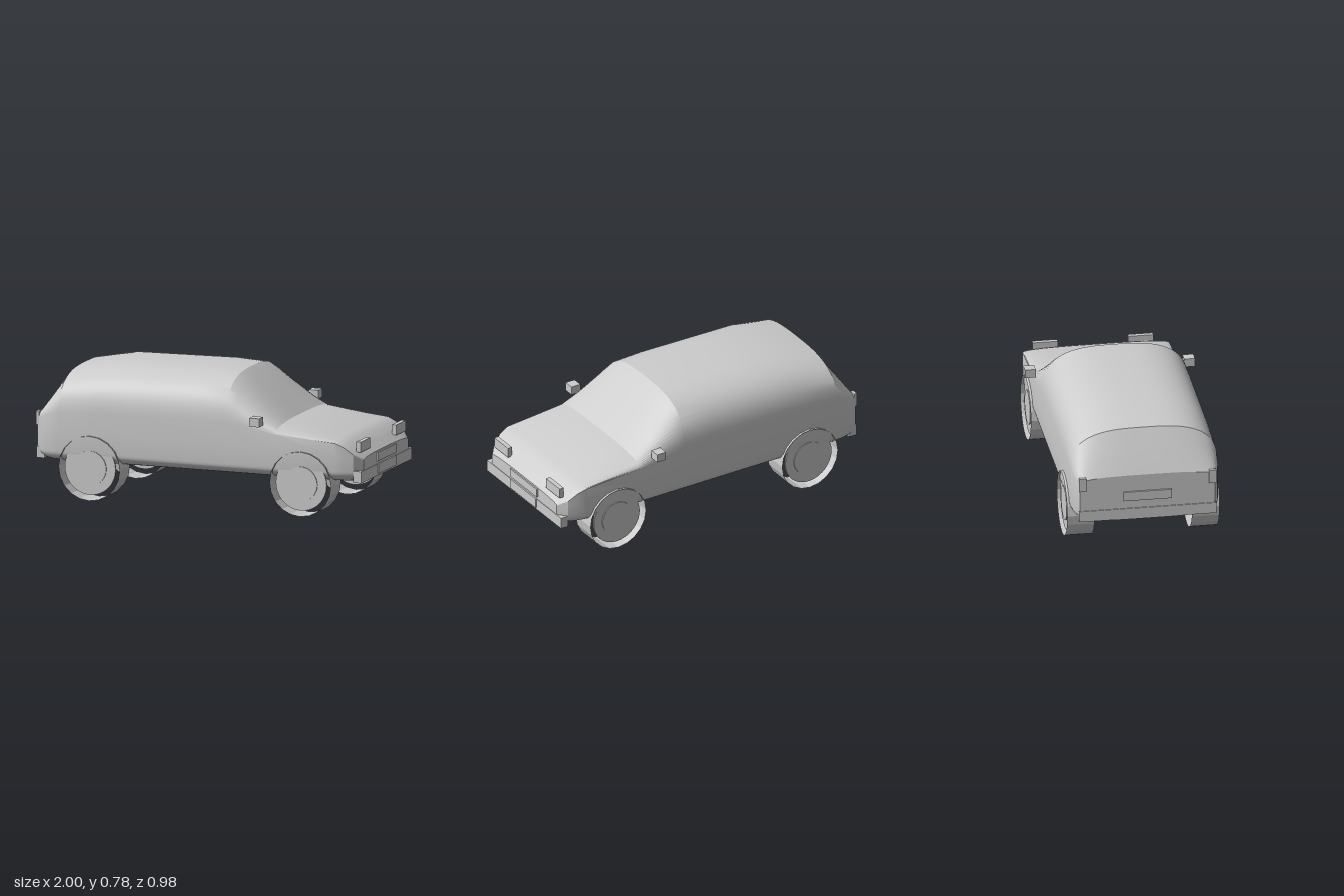
import * as THREE from 'three';
import { toCreasedNormals } from 'three/addons/utils/BufferGeometryUtils.js';

const grey = new THREE.MeshStandardMaterial({ color: 0xcccccc, side: THREE.DoubleSide });
grey.name = 'plainGrey';

// Body stations along the car, rear to front: x, roof height, floor height, half width
const STATIONS = [
  [-0.99, 0.49, 0.215, 0.39], [-0.946, 0.563, 0.203, 0.41], [-0.9, 0.635, 0.196, 0.42],
  [-0.845, 0.72, 0.195, 0.425], [-0.6, 0.767, 0.195, 0.425], [-0.3, 0.772, 0.195, 0.425],
  [0, 0.777, 0.195, 0.425], [0.175, 0.767, 0.195, 0.425], [0.22, 0.735, 0.195, 0.425],
  [0.35, 0.625, 0.195, 0.425], [0.48, 0.515, 0.195, 0.425], [0.84, 0.456, 0.195, 0.424],
  [0.893, 0.434, 0.196, 0.413], [0.945, 0.392, 0.2, 0.395], [0.99, 0.355, 0.215, 0.345],
];
const RING = 80;

// Rounded cross-section: soft roof, straight sides, tight sills
function ringPoint([x, top, floor, width], k) {
  const a = (k / RING) * Math.PI * 2;
  const c = Math.cos(a), s = Math.sin(a);
  const n = s >= 0 ? 3 : 4;
  const z = width * Math.sign(c) * Math.abs(c) ** (2 / n);
  const rise = Math.abs(s) ** (2 / n);
  const shoulder = Math.min(0.45, top - 0.025), sill = 0.3;
  const y = s >= 0 ? shoulder + (top - shoulder) * rise : sill - (sill - floor) * rise;
  return [x, k % RING === 0 || k === RING / 2 ? (shoulder + sill) / 2 : y, z];
}

function bodyGeometry() {
  const pos = [], idx = [];
  STATIONS.forEach((st) => {
    for (let k = 0; k < RING; k++) pos.push(...ringPoint(st, k));
  });
  const last = STATIONS.length - 1;
  for (let i = 0; i < last; i++) {
    for (let k = 0; k < RING; k++) {
      const a = i * RING + k, b = i * RING + ((k + 1) % RING);
      idx.push(a, a + RING, b, b, a + RING, b + RING);
    }
  }
  // End caps
  const rear = pos.length / 3, front = rear + 1;
  pos.push(STATIONS[0][0], 0.34, 0, STATIONS[last][0], 0.29, 0);
  for (let k = 0; k < RING; k++) {
    const n = (k + 1) % RING;
    idx.push(rear, k, n, front, last * RING + n, last * RING + k);
  }
  const g = new THREE.BufferGeometry();
  g.setAttribute('position', new THREE.Float32BufferAttribute(pos, 3));
  g.setIndex(idx);
  return toCreasedNormals(g, 0.35);
}

export function createModel() {
  const car = new THREE.Group();
  car.name = 'car';

  const add = (name, geometry, parent = car) => {
    const m = new THREE.Mesh(geometry, grey);
    m.name = name;
    parent.add(m);
    return m;
  };
  // Box given by its lower and upper limits
  const box = (name, x0, x1, y0, y1, z0, z1) =>
    add(name, new THREE.BoxGeometry(x1 - x0, y1 - y0, Math.abs(z1 - z0)))
      .position.set((x0 + x1) / 2, (y0 + y1) / 2, (z0 + z1) / 2);

  add('body', bodyGeometry());

  // Bumpers and plates
  box('frontBumper', 0.945, 0.993, 0.21, 0.277, -0.395, 0.395);
  box('rearBumper', -0.995, -0.945, 0.22, 0.285, -0.395, 0.395);
  box('frontGrille', 0.988, 0.998, 0.295, 0.345, -0.143, 0.143);
  box('frontPlate', 0.991, 1.0, 0.222, 0.28, -0.135, 0.135);
  box('rearPlate', -1.0, -0.989, 0.335, 0.39, -0.14, 0.14);

  for (const s of [1, -1]) {
    const side = s > 0 ? 'left' : 'right';
    box(side + 'Headlight', 0.946, 0.973, 0.38, 0.44, s * 0.203, s * 0.348);
    box(side + 'TailLight', -0.998, -0.978, 0.41, 0.49, s * 0.355, s * 0.395);
    box(side + 'Mirror', 0.345, 0.405, 0.51, 0.56, s * 0.428, s * 0.49);

    // Wheels: open faceted tyre, recessed disc and raised hub cap
    for (const [end, x] of [['Front', 0.635], ['Rear', -0.655]]) {
      const wheel = new THREE.Group();
      wheel.name = side + end + 'Wheel';
      wheel.position.set(x, 0.187, 0);
      car.add(wheel);
      const tyre = new THREE.CylinderGeometry(0.187, 0.187, 0.158, 20, 1, true).rotateX(Math.PI / 2);
      add('tyre', toCreasedNormals(tyre, 0.1), wheel).position.z = s * 0.36;
      const disc = new THREE.CylinderGeometry(0.155, 0.155, 0.01, 40).rotateX(Math.PI / 2);
      add('wheelDisc', disc, wheel).position.z = s * 0.418;
      const cap = new THREE.CylinderGeometry(0.1, 0.1, 0.01, 32).rotateX(Math.PI / 2);
      add('hubCap', cap, wheel).position.z = s * 0.424;
    }
  }
  return car;
}
